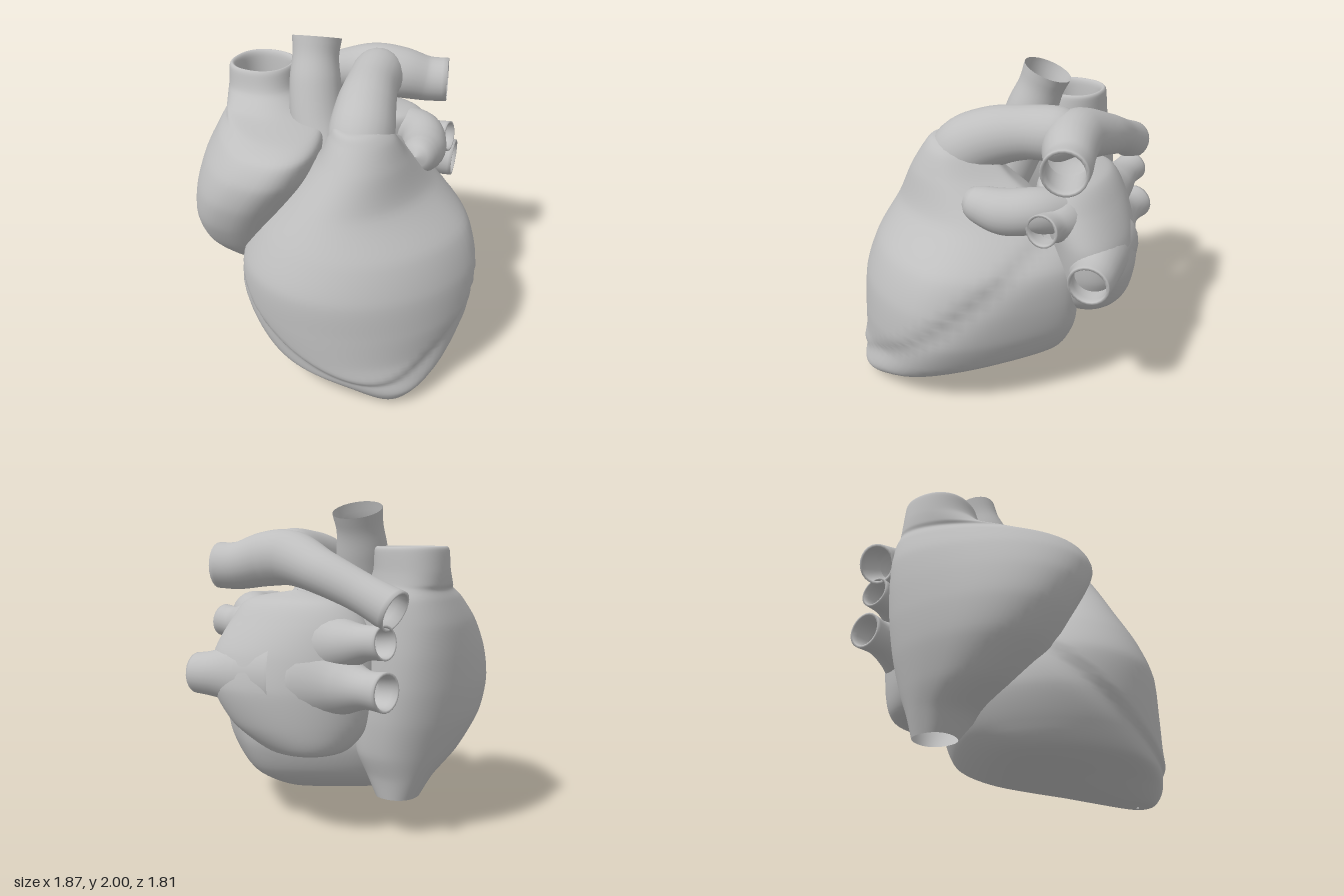
import * as THREE from 'three';

const tissue = new THREE.MeshStandardMaterial({ color: 0xbfbfbf, side: THREE.DoubleSide });
tissue.name = 'grey tissue';

// Skin over a list of closed rings of points
function skin(name, rings) {
  const n = rings[0].length;
  const index = [];
  for (let i = 0; i < rings.length - 1; i++) {
    for (let j = 0; j < n; j++) {
      const k = (j + 1) % n;
      const a = i * n + j, b = i * n + k, c = a + n, d = b + n;
      index.push(a, b, c, b, d, c);
    }
  }
  const geo = new THREE.BufferGeometry().setFromPoints(rings.flat());
  geo.setIndex(index);
  geo.computeVertexNormals();
  const mesh = new THREE.Mesh(geo, tissue);
  mesh.name = name;
  return mesh;
}

// Smooth chamber from level slices: [y, xMin, xMax, zMin, zMax, lean of x toward the front]
// power below 1 squares the slices, taper narrows them toward the back, rule moves points
function chamber(name, rows, { steps = 64, n = 56, power = 1, taper = 0, rule } = {}) {
  const spline = (fn) => new THREE.CatmullRomCurve3(rows.map(fn), false, 'catmullrom', 0.4);
  const mid = spline(([y, x0, x1, z0, z1]) => new THREE.Vector3((x0 + x1) / 2, y, (z0 + z1) / 2));
  const size = spline(([, x0, x1, z0, z1, r]) => new THREE.Vector3((x1 - x0) / 2, r, (z1 - z0) / 2));
  const bend = (v) => Math.sign(v) * Math.abs(v) ** power;
  const rings = [];
  for (let i = 0; i <= steps; i++) {
    const c = mid.getPoint(i / steps), s = size.getPoint(i / steps);
    rings.push(Array.from({ length: n }, (_, j) => {
      const a = (j / n) * Math.PI * 2;
      const back = bend(Math.sin(a));
      const side = bend(Math.cos(a)) * (1 - taper * Math.max(0, back) ** 2);
      const p = new THREE.Vector3(
        c.x + s.x * (Math.sqrt(1 - s.y * s.y) * side - s.y * back), c.y, c.z - s.z * back);
      if (rule) rule(p);
      return p;
    }));
  }
  return skin(name, rings);
}

// Vessel along points [x, y, z, radius]; rims lists the ends (0 or 1) that get a thick lip
function vessel(name, pts, rims = [1], n = 24, steps = 28) {
  const curve = new THREE.CatmullRomCurve3(pts.map((p) => new THREE.Vector3(p[0], p[1], p[2])));
  const radii = new THREE.CatmullRomCurve3(pts.map((p, i) => new THREE.Vector3(i, p[3], 0)), false, 'catmullrom', 0.4);
  const frames = curve.computeFrenetFrames(steps, false);
  const ringAt = (i, scale) => {
    const t = curve.getUtoTmapping(i / steps);
    const c = curve.getPoint(t), r = radii.getPoint(t).y * scale;
    return Array.from({ length: n }, (_, j) => {
      const a = (j / n) * Math.PI * 2;
      return c.clone()
        .addScaledVector(frames.normals[i], r * Math.cos(a))
        .addScaledVector(frames.binormals[i], r * Math.sin(a));
    });
  };
  const rings = [];
  for (let i = 0; i <= steps; i++) rings.push(ringAt(i, 1));
  if (rims.includes(1)) rings.push(ringAt(steps, 0.87), ringAt(steps - 2, 0.83), ringAt(steps - 7, 0.8));
  if (rims.includes(0)) rings.unshift(ringAt(7, 0.8), ringAt(2, 0.83), ringAt(0, 0.87));
  return skin(name, rings);
}

export function createModel() {
  const heart = new THREE.Group();
  heart.name = 'heart';

  // Ventricles, with a groove pressed in along the slanted seam between them
  heart.add(chamber('ventricles', [
    [0.0, 0.57, 0.59, 0.6, 0.62, 0],
    [0.015, 0.42, 0.69, 0.47, 0.71, 0.2],
    [0.09, 0.08, 0.79, 0.14, 0.8, 0.2],
    [0.17, -0.34, 0.85, -0.22, 0.87, 0.1],
    [0.3, -0.47, 0.89, -0.47, 0.89, 0],
    [0.5, -0.55, 0.935, -0.58, 0.9, -0.06],
    [0.73, -0.52, 0.925, -0.61, 0.895, -0.1],
    [0.95, -0.4, 0.84, -0.6, 0.81, -0.1],
    [1.18, -0.2, 0.61, -0.47, 0.68, -0.08],
    [1.4, -0.03, 0.5, -0.14, 0.55, 0],
    [1.54, 0.04, 0.43, 0.02, 0.46, 0],
    [1.6, 0.09, 0.35, 0.15, 0.41, 0],
    [1.61, 0.2, 0.22, 0.27, 0.29, 0],
  ], {
    steps: 84, n: 72, taper: 0.58,
    rule: (p) => {
      const d = p.y - (0.95 - 0.36 * p.x - 0.72 * p.z);
      const press = 1 - 0.032 * Math.exp(-((d / (d < 0 ? 0.12 : 0.025)) ** 2));
      p.x = 0.2 + (p.x - 0.2) * press;
      p.z = 0.14 + (p.z - 0.14) * press;
    },
  }));

  // Right atrium running from the lower to the upper great vein, with a lip at the top
  heart.add(chamber('rightAtrium', [
    [0.23, -0.7, -0.45, -0.27, -0.01, 0],
    [0.36, -0.76, -0.37, -0.3, 0.1, 0],
    [0.5, -0.83, -0.28, -0.35, 0.34, 0],
    [0.7, -0.9, -0.25, -0.38, 0.55, 0.05],
    [0.9, -0.93, -0.22, -0.39, 0.67, 0.15],
    [1.1, -0.93, -0.14, -0.39, 0.73, 0.28],
    [1.28, -0.91, -0.05, -0.38, 0.73, 0.4],
    [1.42, -0.865, -0.02, -0.37, 0.66, 0.48],
    [1.48, -0.84, -0.08, -0.35, 0.52, 0.48],
    [1.515, -0.855, -0.3, -0.335, 0.28, 0.28],
    [1.59, -0.86, -0.4, -0.325, 0.14, 0.1],
    [1.71, -0.85, -0.43, -0.32, 0.1, 0],
    [1.73, -0.83, -0.45, -0.3, 0.08, 0],
    [1.69, -0.81, -0.47, -0.28, 0.06, 0],
    [1.5, -0.8, -0.48, -0.27, 0.05, 0],
  ], { steps: 84, power: 0.88 }));

  // Left atrium at the back
  heart.add(chamber('leftAtrium', [
    [0.49, -0.17, -0.15, -0.55, -0.53, 0],
    [0.53, -0.4, 0.08, -0.7, -0.3, -0.1],
    [0.68, -0.5, 0.27, -0.81, -0.2, -0.3],
    [0.9, -0.54, 0.37, -0.87, -0.2, -0.42],
    [1.1, -0.54, 0.39, -0.83, -0.2, -0.4],
    [1.28, -0.49, 0.36, -0.73, -0.2, -0.25],
    [1.41, -0.36, 0.29, -0.63, -0.25, -0.1],
    [1.47, -0.05, -0.03, -0.45, -0.43, 0],
  ], { power: 0.95 }));

  // Left auricle, a lobe closed at its tip
  heart.add(vessel('leftAuricle', [
    [0.2, 1.27, -0.5, 0.14], [0.37, 1.3, -0.38, 0.14], [0.45, 1.29, -0.22, 0.14],
    [0.48, 1.315, -0.07, 0.115], [0.49, 1.34, 0.0, 0.08], [0.49, 1.345, 0.03, 0.002],
  ], []));

  // Four lung veins, flaring where they enter the left atrium
  const veins = {
    leftUpperVein: [[0.1, 1.2, -0.48, 0.24], [0.3, 1.24, -0.5, 0.15], [0.42, 1.25, -0.5, 0.1], [0.52, 1.26, -0.5, 0.1]],
    leftLowerVein: [[0.0, 0.97, -0.58, 0.29], [0.2, 0.97, -0.69, 0.2], [0.35, 0.965, -0.76, 0.14], [0.47, 0.96, -0.78, 0.125]],
    rightUpperVein: [[-0.25, 1.15, -0.46, 0.24], [-0.48, 1.18, -0.5, 0.14], [-0.62, 1.2, -0.51, 0.1], [-0.74, 1.21, -0.52, 0.1]],
    rightLowerVein: [[-0.25, 0.95, -0.5, 0.28], [-0.49, 0.94, -0.52, 0.16], [-0.64, 0.94, -0.54, 0.11], [-0.77, 0.94, -0.55, 0.115]],
  };
  for (const [name, pts] of Object.entries(veins)) heart.add(vessel(name, pts));

  // Aorta, cut off with a thin open end
  heart.add(vessel('aorta', [
    [-0.06, 1.2, 0.12, 0.17], [-0.17, 1.46, 0.04, 0.17], [-0.22, 1.7, -0.03, 0.16],
    [-0.24, 1.84, -0.08, 0.145], [-0.25, 1.945, -0.12, 0.155],
  ], []));

  // Lung artery: the trunk arching back, and its two branches
  heart.add(vessel('lungArteryTrunk', [
    [0.22, 1.36, 0.29, 0.18], [0.21, 1.51, 0.21, 0.2], [0.16, 1.61, 0.04, 0.185],
    [0.1, 1.66, -0.18, 0.165], [0.06, 1.67, -0.38, 0.165], [0.04, 1.67, -0.52, 0.1],
  ], []));
  heart.add(vessel('lungArteryBranches', [
    [0.45, 1.61, -0.6, 0.14], [0.32, 1.61, -0.56, 0.145], [0.16, 1.65, -0.49, 0.165], [0.0, 1.66, -0.46, 0.165],
    [-0.3, 1.58, -0.51, 0.13], [-0.58, 1.47, -0.5, 0.115], [-0.78, 1.38, -0.485, 0.125],
  ], [0, 1], 24, 48));

  return heart;
}
